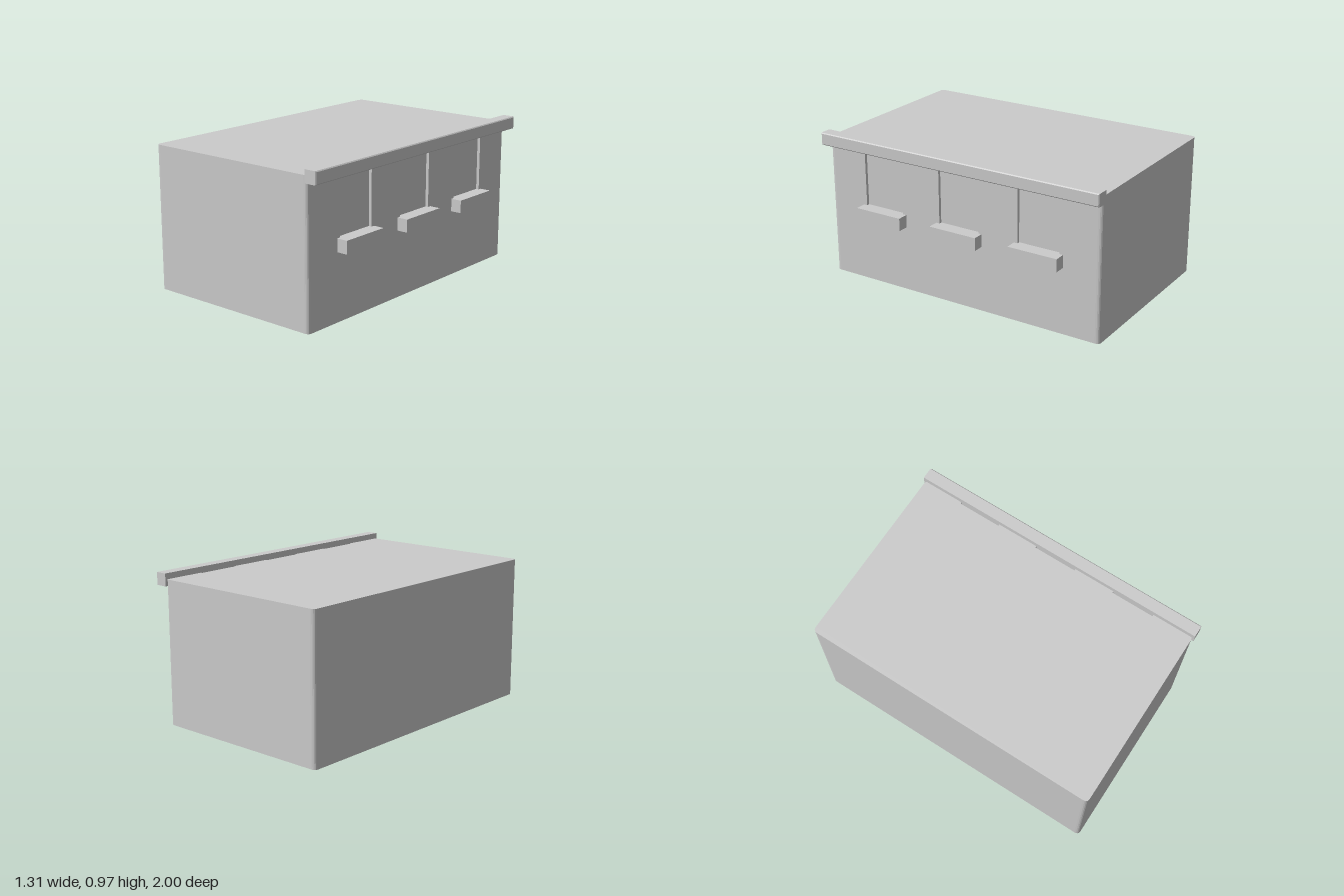
import * as THREE from 'three';

const material = new THREE.MeshStandardMaterial({ color: 0xcccccc, flatShading: true });

const LEFT = 0.58, RIGHT = -0.655, HALF = 0.988, RADIUS = 0.03;
const TOP = 0.933, NOTCH_FLOOR = 0.48, NOTCH_X = 0.56;
const WINDOW_Z = [0.567, 0, -0.567];
const WINDOW_HALF = 0.144;

function add(group, name, geometry) {
  const mesh = new THREE.Mesh(geometry, material);
  mesh.name = name;
  group.add(mesh);
  return mesh;
}

// Rounded floor plan, drawn with y = -z; window notches are cut in its +x side
function plan(notched) {
  const s = new THREE.Shape();
  s.moveTo(RIGHT + RADIUS, -HALF);
  s.lineTo(LEFT - RADIUS, -HALF);
  s.quadraticCurveTo(LEFT, -HALF, LEFT, -HALF + RADIUS);
  if (notched) {
    for (const z of WINDOW_Z) {
      s.lineTo(LEFT, -z - WINDOW_HALF);
      s.lineTo(NOTCH_X, -z - WINDOW_HALF);
      s.lineTo(NOTCH_X, -z + WINDOW_HALF);
      s.lineTo(LEFT, -z + WINDOW_HALF);
    }
  }
  s.lineTo(LEFT, HALF - RADIUS);
  s.quadraticCurveTo(LEFT, HALF, LEFT - RADIUS, HALF);
  s.lineTo(RIGHT + RADIUS, HALF);
  s.quadraticCurveTo(RIGHT, HALF, RIGHT, HALF - RADIUS);
  s.lineTo(RIGHT, -HALF + RADIUS);
  s.quadraticCurveTo(RIGHT, -HALF, RIGHT + RADIUS, -HALF);
  return s;
}

function storey(y0, y1, notched) {
  const g = new THREE.ExtrudeGeometry(plan(notched), { depth: y1 - y0, bevelEnabled: false, curveSegments: 5 });
  return g.rotateX(-Math.PI / 2).translate(0, y0, 0);
}

// Beam between two x values whose outer face has a narrow chamfer
function beam(x0, x1, y0, y1, length, chamfer) {
  const w = x1 - x0, h = y1 - y0;
  const g = new THREE.BoxGeometry(w, h, length, 2, 1, 1);
  const p = g.attributes.position;
  for (let i = 0; i < p.count; i++) {
    const x = p.getX(i);
    if (Math.abs(x) < 1e-6) p.setX(i, w / 2 - chamfer);
    else if (x > 0) {
      p.setY(i, p.getY(i) - Math.sign(p.getY(i)) * chamfer);
      p.setZ(i, p.getZ(i) - Math.sign(p.getZ(i)) * chamfer);
    }
  }
  const flat = g.toNonIndexed();
  flat.computeVertexNormals();
  return flat.translate((x0 + x1) / 2, (y0 + y1) / 2, 0);
}

export function createModel() {
  const model = new THREE.Group();
  model.name = 'building';

  // Walls: plain base, then the part with window recesses
  add(model, 'lowerWalls', storey(0, NOTCH_FLOOR, false));
  add(model, 'upperWalls', storey(NOTCH_FLOOR, TOP, true));

  // Cornice along the window side
  add(model, 'cornice', beam(0.571, 0.653, 0.89, 0.971, 2, 0.006));

  // Sill under each window
  for (const z of WINDOW_Z) {
    const sill = new THREE.BoxGeometry(0.653 - NOTCH_X, 0.083, 0.336);
    add(model, 'windowSill', sill).position.set((0.653 + NOTCH_X) / 2, 0.473, z);
  }
  return model;
}
